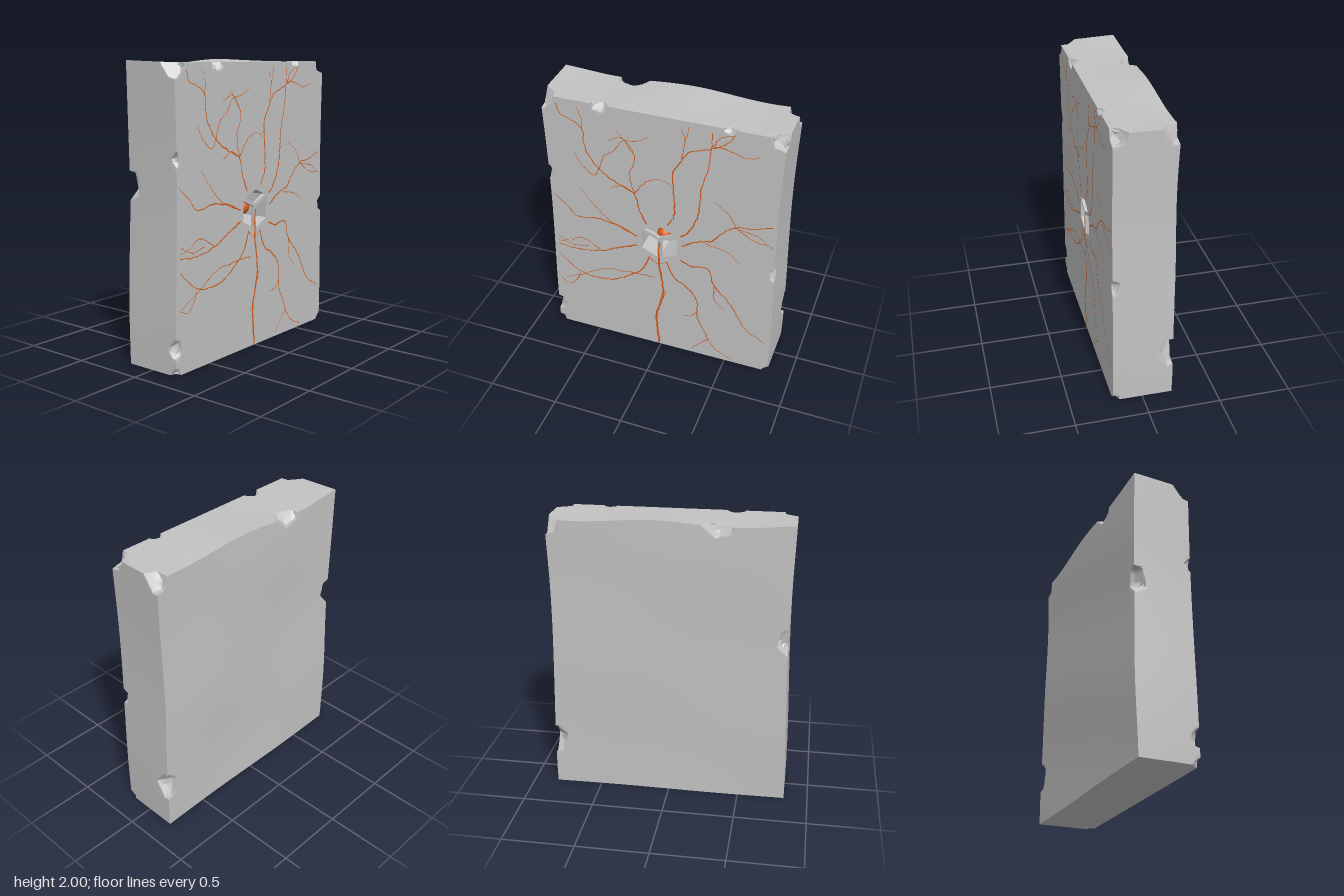
import * as THREE from 'three';
import { toCreasedNormals } from 'three/addons/utils/BufferGeometryUtils.js';

const W = 1.65, H = 1.98, D = 0.41, STEP = 0.015, FRONT = D / 2;
const WINDOW = { x: 0.15, y0: 0.795, y1: 1.14 }; // part of the front that holds the niche
const NICHE_DEPTH = 0.2, BAR_DEPTH = 0.025;

const stone = new THREE.MeshStandardMaterial({ color: 0xc2c2c2 });
stone.name = 'stone';
const ember = new THREE.MeshStandardMaterial({ color: 0xd65a14, side: THREE.DoubleSide });
ember.name = 'emberOrange';

let seed = 7;
const rand = () => (seed = (seed * 16807) % 2147483647) / 2147483647 - 0.5;

// Chips knocked out of the edges: x, y, z, radius
const chips = [
  [-0.84, 1.995, 0.215, 0.1], [-0.41, 1.99, 0.215, 0.058], [0.465, 1.99, 0.215, 0.042],
  [0.83, 1.995, 0.215, 0.1], [-0.835, 1.39, 0.215, 0.05], [-0.84, 0.175, 0.215, 0.06],
  [-0.845, -0.01, 0.215, 0.058], [0.845, -0.01, 0.215, 0.055], [0.845, 0.915, 0.215, 0.06],
  [0.865, 2.005, -0.225, 0.13], [0.85, 0.34, -0.22, 0.1], [-0.33, 2.015, -0.225, 0.1],
  [-0.845, 1.2, -0.22, 0.1],
];

// Facet directions of a chip
const facets = [];
const ico = new THREE.IcosahedronGeometry(1, 0).attributes.position;
for (let i = 0; i < ico.count; i++) {
  const n = new THREE.Vector3().fromBufferAttribute(ico, i).applyEuler(new THREE.Euler(0.4, 0.7, 0.2));
  if (!facets.some(f => f.distanceTo(n) < 0.01)) facets.push(n);
}

// Pushes a surface point inside a chip onto the chip's faceted wall
function carve(p) {
  for (const [x, y, z, r] of chips) {
    const c = new THREE.Vector3(x, y, z);
    const d = p.clone().sub(c), len = d.length();
    if (len > r * 1.3 || len < 1e-4) continue;
    d.divideScalar(len);
    const reach = r / Math.max(...facets.map(f => f.dot(d)));
    if (len < reach) p.copy(c).addScaledVector(d, reach);
  }
}

// Uneven sides, back and top
function weather(p) {
  const { x, y, z } = p;
  const back = (FRONT - z) / D;
  const side = THREE.MathUtils.smoothstep(Math.abs(x), 0.5, W / 2);
  const top = THREE.MathUtils.smoothstep(y, 1.5, H);
  p.x += side * (x > 0
    ? -0.005 - 0.01 * Math.cos(3 * (y - 1.35) + 0.3 * back)
    : 0.004 + 0.012 * Math.cos(2.6 * (y - 1.3) + 0.3 * back));
  p.y += top * (0.003 + back * (0.003 + 0.014 * Math.cos(6 * (x - 0.1))));
  p.z += back * 0.005 * (Math.sin(4 * x + 3 * y) + Math.sin(6 * y - 2 * x) * 0.6);
}

function makeSlab() {
  const geo = new THREE.BoxGeometry(W, H, D, Math.round(W / STEP), Math.round(H / STEP), Math.round(D / STEP));
  geo.translate(0, H / 2, 0);
  const pos = geo.attributes.position, idx = geo.index, front = geo.groups[4];
  const keep = [];
  for (let i = 0; i < idx.count; i += 3) {
    const tri = [idx.getX(i), idx.getX(i + 1), idx.getX(i + 2)];
    const cx = tri.reduce((s, v) => s + pos.getX(v), 0) / 3;
    const cy = tri.reduce((s, v) => s + pos.getY(v), 0) / 3;
    const inFront = i >= front.start && i < front.start + front.count;
    if (inFront && Math.abs(cx) < WINDOW.x && cy > WINDOW.y0 && cy < WINDOW.y1) continue;
    keep.push(...tri);
  }
  geo.setIndex(keep);
  geo.clearGroups();
  const p = new THREE.Vector3();
  for (let i = 0; i < pos.count; i++) {
    p.fromBufferAttribute(pos, i);
    weather(p);
    carve(p);
    pos.setXYZ(i, p.x, p.y, p.z);
  }
  return toCreasedNormals(geo, 0.5);
}

// Three slanted openings and the hollow behind them, corners counter-clockwise
const outline = list => list.map(c => new THREE.Vector2(...c));
const openings = [
  [[-0.137, 1.05], [-0.137, 0.9], [-0.018, 0.845], [-0.018, 0.995]],
  [[0.007, 0.995], [0.007, 0.845], [0.125, 0.9], [0.125, 1.05]],
  [[-0.118, 1.068], [-0.006, 1.015], [0.105, 1.068], [0.004, 1.112]],
].map(outline);
const hollow = outline([[-0.138, 0.9], [-0.006, 0.838], [0.126, 0.9], [0.126, 1.063], [0.004, 1.113], [-0.138, 1.063]]);

// Inward-facing walls from zf back to zb
function makeWalls(corners, zf, zb) {
  const v = [];
  corners.forEach((a, i) => {
    const b = corners[(i + 1) % corners.length];
    v.push(a.x, a.y, zf, b.x, b.y, zf, b.x, b.y, zb, a.x, a.y, zf, b.x, b.y, zb, a.x, a.y, zb);
  });
  const geo = new THREE.BufferGeometry();
  geo.setAttribute('position', new THREE.Float32BufferAttribute(v, 3));
  geo.computeVertexNormals();
  return geo;
}

// Jagged tapering ribbon through x, y pairs
function makeCrack(w0, w1, coords) {
  const pts = [];
  for (let i = 0; i < coords.length; i += 2) pts.push(new THREE.Vector3(coords[i], coords[i + 1], 0));
  const curve = new THREE.CatmullRomCurve3(pts, false, 'centripetal');
  const n = Math.max(4, Math.round(curve.getLength() / 0.022));
  const v = [], idx = [];
  for (let i = 0; i <= n; i++) {
    const t = i / n, p = curve.getPointAt(t), d = curve.getTangentAt(t);
    const shift = i > 0 && i < n ? rand() * 0.009 : 0;
    const h = THREE.MathUtils.lerp(w0, w1, t) * (1 + rand() * 0.5) / 2;
    for (const s of [shift + h, shift - h]) v.push(p.x - d.y * s, p.y + d.x * s, FRONT + 0.0015);
    if (i < n) idx.push(2 * i, 2 * i + 1, 2 * i + 3, 2 * i, 2 * i + 3, 2 * i + 2);
  }
  const geo = new THREE.BufferGeometry();
  geo.setAttribute('position', new THREE.Float32BufferAttribute(v, 3));
  geo.setIndex(idx);
  geo.computeVertexNormals();
  return geo;
}

export function createModel() {
  const model = new THREE.Group();
  model.name = 'crackedSlab';
  const add = (parent, name, geo, mat) => {
    const mesh = new THREE.Mesh(geo, mat);
    mesh.name = name;
    parent.add(mesh);
    return mesh;
  };
  add(model, 'slab', makeSlab(), stone);

  // Niche with its pierced front and the glowing core
  const niche = new THREE.Group();
  niche.name = 'niche';
  model.add(niche);
  const { x, y0, y1 } = WINDOW;
  const face = new THREE.Shape(outline([[-x, y0], [x, y0], [x, y1], [-x, y1]]));
  face.holes = openings.map(o => new THREE.Path(o));
  add(niche, 'nicheFront', new THREE.ShapeGeometry(face), stone).position.z = FRONT;
  for (const o of openings) add(niche, 'openingEdge', makeWalls(o, FRONT, FRONT - BAR_DEPTH), stone);
  add(niche, 'nicheWalls', makeWalls(hollow, FRONT - BAR_DEPTH, FRONT - NICHE_DEPTH), stone);
  add(niche, 'nicheFloor', new THREE.ShapeGeometry(new THREE.Shape(hollow)), stone).position.z = FRONT - NICHE_DEPTH;
  add(niche, 'core', new THREE.SphereGeometry(0.051, 24, 16), ember).position.set(-0.008, 0.978, 0.09);

  // Cracks spreading from the niche
  const cracks = new THREE.Group();
  cracks.name = 'cracks';
  model.add(cracks);
  const main = (...c) => add(cracks, 'mainCrack', makeCrack(0.01, 0.005, c), ember);
  const fork = (...c) => add(cracks, 'crackBranch', makeCrack(0.006, 0.003, c), ember);
  add(cracks, 'stemCrack', makeCrack(0.015, 0.012, [-0.01, 0.002, -0.03, 0.28, 0.02, 0.53, -0.01, 0.8, -0.006, 0.98]), ember);
  fork(0.01, 0.45, 0.05, 0.54);
  fork(-0.03, 0.3, -0.06, 0.25);
  // upper left
  main(-0.1, 1.11, -0.15, 1.23, -0.16, 1.31, -0.21, 1.37, -0.31, 1.41, -0.43, 1.49, -0.48, 1.55, -0.53, 1.66, -0.54, 1.78, -0.62, 1.84, -0.68, 1.86, -0.72, 1.94);
  fork(-0.54, 1.78, -0.54, 1.86, -0.57, 1.95);
  fork(-0.43, 1.49, -0.39, 1.6, -0.31, 1.67, -0.26, 1.75, -0.17, 1.76, -0.08, 1.81);
  fork(-0.18, 1.35, -0.21, 1.5, -0.17, 1.63, -0.2, 1.71, -0.3, 1.82);
  fork(-0.17, 1.65, -0.22, 1.72, -0.26, 1.77, -0.36, 1.73);
  fork(-0.43, 1.49, -0.47, 1.43, -0.57, 1.51, -0.61, 1.59);
  fork(-0.18, 1.35, -0.1, 1.46, 0, 1.51, 0.1, 1.46);
  fork(-0.2, 1.36, -0.27, 1.39, -0.36, 1.35);
  // upper right
  main(0.05, 1.14, 0.1, 1.23, 0.1, 1.4, 0.1, 1.6, 0.15, 1.68, 0.19, 1.75, 0.35, 1.82, 0.44, 1.87, 0.5, 1.95);
  fork(0.15, 1.7, 0.17, 1.81, 0.2, 1.95);
  fork(0.18, 1.83, 0.15, 1.92);
  main(0.15, 1.07, 0.21, 1.13, 0.27, 1.28, 0.29, 1.5, 0.33, 1.66, 0.35, 1.82, 0.35, 1.94);
  fork(0.35, 1.84, 0.48, 1.83, 0.56, 1.8, 0.66, 1.82);
  fork(0.36, 1.84, 0.42, 1.92, 0.49, 1.94);
  // right
  main(0.16, 0.99, 0.25, 1.05, 0.38, 1.1, 0.46, 1.2, 0.54, 1.25, 0.67, 1.27, 0.78, 1.31);
  fork(0.55, 1.24, 0.64, 1.18, 0.79, 1.15);
  fork(0.54, 1.24, 0.67, 1.22, 0.79, 1.14);
  fork(0.54, 1.24, 0.48, 1.34, 0.38, 1.42);
  fork(0.33, 1.06, 0.47, 1.03, 0.58, 0.95);
  // lower right
  main(0.15, 0.86, 0.23, 0.83, 0.35, 0.84, 0.4, 0.7, 0.49, 0.61, 0.56, 0.5, 0.65, 0.36, 0.79, 0.27);
  fork(0.4, 0.7, 0.41, 0.57, 0.48, 0.49);
  main(0.05, 0.82, 0.1, 0.7, 0.23, 0.6, 0.28, 0.5, 0.28, 0.37, 0.34, 0.24, 0.37, 0.17, 0.45, 0.07, 0.55, 0.03);
  fork(0.28, 0.41, 0.22, 0.36, 0.17, 0.35);
  fork(0.37, 0.17, 0.28, 0.08, 0.24, 0.03);
  // lower left
  main(-0.08, 0.83, -0.14, 0.7, -0.25, 0.6, -0.43, 0.52, -0.63, 0.54, -0.79, 0.67);
  fork(-0.08, 0.83, -0.02, 0.78, 0.05, 0.82);
  fork(-0.05, 0.65, -0.28, 0.64, -0.43, 0.62, -0.6, 0.52, -0.7, 0.47, -0.79, 0.42);
  fork(-0.63, 0.52, -0.66, 0.45, -0.72, 0.4, -0.79, 0.42);
  // left
  main(-0.17, 0.91, -0.31, 0.85, -0.41, 0.8, -0.6, 0.75, -0.79, 0.76);
  fork(-0.45, 0.79, -0.6, 0.86, -0.7, 0.81, -0.79, 0.79);
  fork(-0.55, 0.8, -0.67, 0.78, -0.78, 0.83);
  main(-0.17, 0.99, -0.3, 1.04, -0.45, 1.07, -0.62, 1.05, -0.7, 1.13, -0.79, 1.21);
  fork(-0.23, 1.02, -0.38, 1.08, -0.5, 1.2, -0.58, 1.3);
  return model;
}
